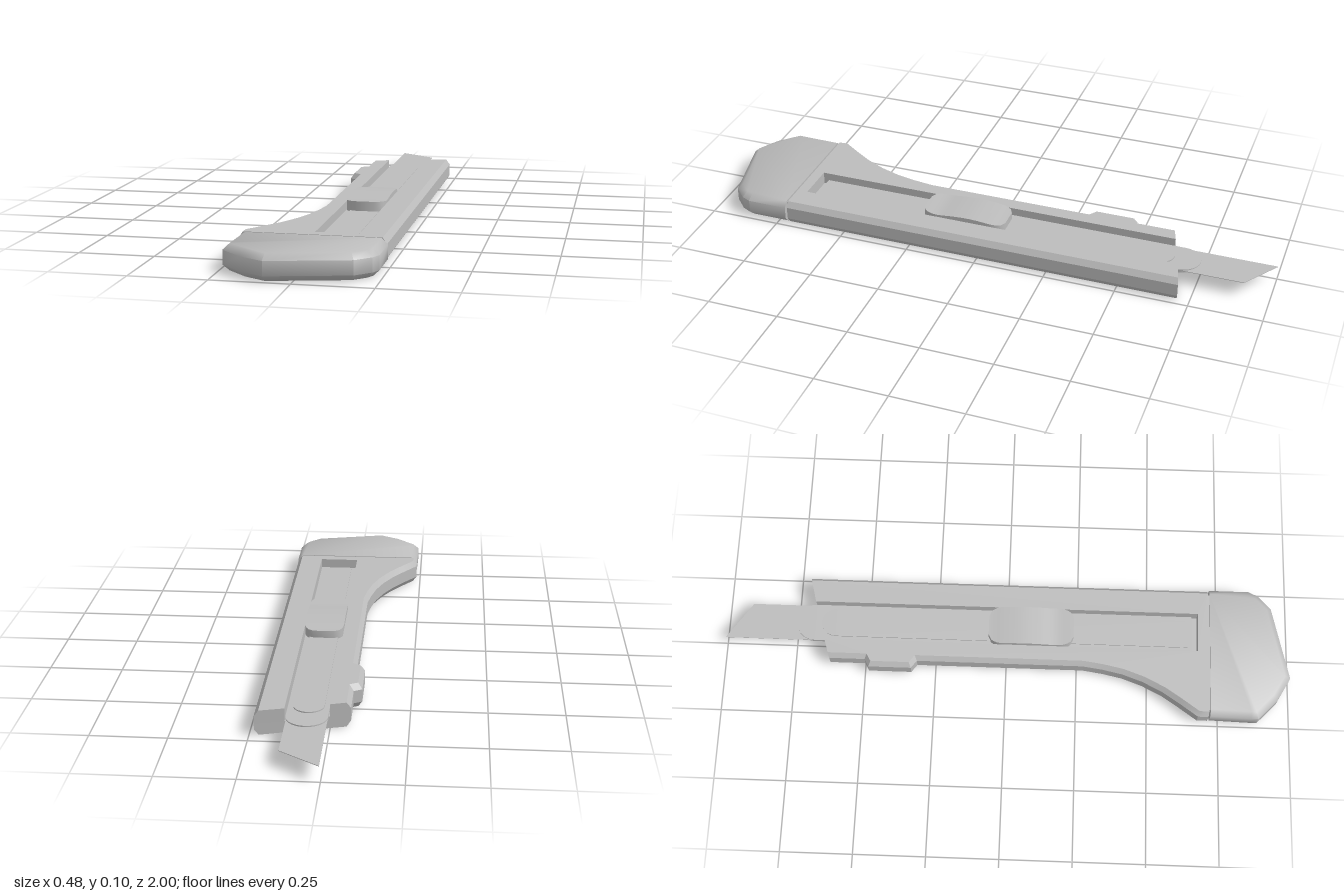
import * as THREE from 'three';
import { toCreasedNormals } from 'three/addons/utils/BufferGeometryUtils.js';

const gray = new THREE.MeshStandardMaterial({ color: 0xbcbcbc, side: THREE.DoubleSide });

// Shrinks an outline of [x, z, soft]; only edges starting at a soft point move inwards.
function inset(points, amount) {
  const count = points.length;
  const edges = points.map(([x, z, soft], i) => {
    const [nx, nz] = points[(i + 1) % count];
    const length = Math.hypot(nx - x, nz - z);
    return { x: (nz - z) / length, z: (x - nx) / length, f: soft ? -amount : 0 };
  });
  return points.map(([x, z], i) => {
    const a = edges[(i + count - 1) % count], b = edges[i];
    const det = a.x * b.z - a.z * b.x;
    if (Math.abs(det) < 1e-4) return [x + a.x * a.f, z + a.z * a.f];
    return [x + (a.f * b.z - b.f * a.z) / det, z + (a.x * b.f - b.x * a.f) / det];
  });
}

// Stacks copies of an outline at levels of [y, inset] and closes both ends.
function stack(points, levels, crease = 0.6) {
  const n = points.length, position = [], index = [];
  const rings = levels.map(([, amount]) => inset(points, amount));
  rings.forEach((ring, k) => ring.forEach(([x, z]) => position.push(x, levels[k][0], z)));
  for (let k = 0; k < rings.length - 1; k++) {
    for (let i = 0; i < n; i++) {
      const j = (i + 1) % n, a = k * n + i, b = k * n + j;
      index.push(a, a + n, b, b, a + n, b + n);
    }
  }
  const contour = points.map(([x, z]) => new THREE.Vector2(x, z));
  const top = (rings.length - 1) * n;
  for (const [a, b, c] of THREE.ShapeUtils.triangulateShape(contour, [])) {
    index.push(a, b, c, top + a, top + c, top + b);
  }
  const geometry = new THREE.BufferGeometry();
  geometry.setAttribute('position', new THREE.Float32BufferAttribute(position, 3));
  geometry.setIndex(index);
  return toCreasedNormals(geometry, crease);
}

// A strip along z whose far end is a half circle.
function roundedStrip(x0, x1, zEnd, zStart) {
  const r = (x1 - x0) / 2, points = [];
  for (let i = 0; i <= 14; i++) {
    const a = Math.PI + Math.PI * i / 14;
    points.push([(x0 + x1) / 2 + r * Math.cos(a), zEnd + r + r * Math.sin(a), 0]);
  }
  points.push([x1, zStart, 0], [x0, zStart, 0]);
  return points;
}

// Thumb button: a rounded outline with a gently waved top.
function thumbButton() {
  const wave = new THREE.SplineCurve([[-0.065, 0.088], [0, 0.095], [0.06, 0.099], [0.12, 0.097],
    [0.18, 0.092], [0.235, 0.095]].map(p => new THREE.Vector2(...p)));
  const rows = 30, position = [], index = [];
  for (let i = 0; i <= rows; i++) {
    const z = -0.065 + 0.3 * i / rows;
    const e = Math.max(0, 1 - Math.min(z + 0.065, 0.235 - z) / 0.055);
    const w = 0.035 + 0.034 * Math.sqrt(Math.max(0, 1 - e * e));
    const y = wave.getPoint(i / rows).y;
    position.push(0.07 - w, 0.058, z, 0.07 - w, y, z, 0.07 + w, y, z, 0.07 + w, 0.058, z);
  }
  for (let i = 0; i < rows; i++) {
    for (let k = 0; k < 3; k++) {
      const a = i * 4 + k, b = a + 4;
      index.push(a, b, a + 1, a + 1, b, b + 1);
    }
  }
  const last = rows * 4;
  index.push(0, 1, 2, 0, 2, 3, last, last + 2, last + 1, last, last + 3, last + 2);
  const geometry = new THREE.BufferGeometry();
  geometry.setAttribute('position', new THREE.Float32BufferAttribute(position, 3));
  geometry.setIndex(index);
  return toCreasedNormals(geometry, 0.6);
}

export function createModel() {
  const model = new THREE.Group();
  const add = (name, geometry) => {
    const mesh = new THREE.Mesh(geometry, gray);
    mesh.name = name;
    model.add(mesh);
  };

  // Handle outline: right edge, then the curved grip and the small side tab
  const side = [
    [0.234, -0.71, 1], [0.234, 0.712, 0], [-0.236, 0.712, 1], [-0.236, 0.675, 1], [-0.19, 0.61, 1],
    [-0.15, 0.55, 1], [-0.115, 0.48, 1], [-0.09, 0.41, 1], [-0.075, 0.34, 1], [-0.065, 0.27, 1],
    [-0.065, -0.315, 1], [-0.092, -0.335, 1], [-0.092, -0.485, 1], [-0.065, -0.5, 1],
    [-0.065, -0.625, 0],
  ];
  const channel = [[0, -0.645, 0], [0, 0.675, 0], [0.14, 0.675, 0], [0.14, -0.685, 0]];
  add('handleBase', stack(side, [[0, 0.014], [0.02, 0], [0.04, 0]]));
  add('handleRails', stack([...side, ...channel], [[0.04, 0], [0.064, 0], [0.084, 0.014]]));

  // Rounded end cap, joined by a slightly smaller core
  const cap = [
    [0.238, 0.718, 1], [0.238, 0.86, 1], [0.222, 0.893, 1], [0.175, 0.938, 1], [-0.085, 1, 1],
    [-0.165, 0.955, 1], [-0.238, 0.885, 1], [-0.238, 0.86, 1], [-0.234, 0.718, 0],
  ];
  add('endCap', stack(cap, [[0, 0.02], [0.019, 0], [0.065, 0], [0.084, 0.02]], 0.85));
  const core = new THREE.BoxGeometry(0.43, 0.07, 0.04);
  core.translate(0, 0.042, 0.715);
  add('capJoint', core);

  // Sliding carrier in the channel, with a narrower raised strip
  add('bladeCarrier', stack(roundedStrip(0.003, 0.137, -0.75, 0.655), [[0.046, 0], [0.058, 0]]));
  add('carrierStrip', stack(roundedStrip(0.02, 0.12, -0.66, 0.64), [[0.058, 0], [0.062, 0]]));
  add('thumbButton', thumbButton());

  // Thin blade with a slanted tip
  add('blade', stack([[0.004, -1, 0], [0.134, -0.91, 0], [0.134, -0.4, 0], [0.004, -0.4, 0]],
    [[0.052, 0], [0.054, 0]]));

  return model;
}
